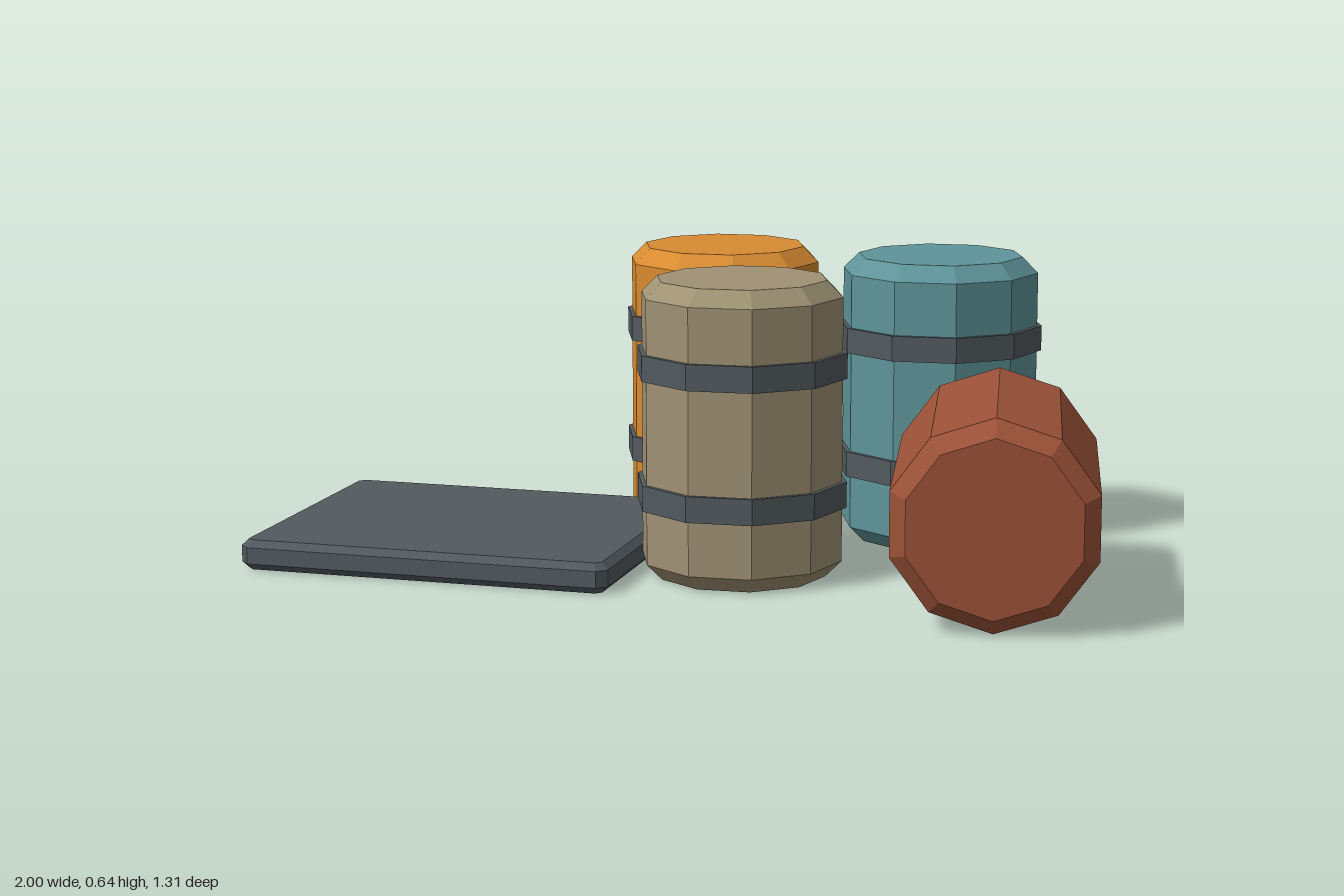
import * as THREE from 'three';

const SIDES = 10, R = 0.22, H = 0.642, BEVEL = 0.035;

const paint = (name, color) => {
  const m = new THREE.MeshStandardMaterial({ color });
  m.name = name;
  return m;
};

// Faceted mesh: every face keeps its own normal
function facet(name, geometry, material) {
  const g = geometry.index ? geometry.toNonIndexed() : geometry;
  g.computeVertexNormals();
  const mesh = new THREE.Mesh(g, material);
  mesh.name = name;
  return mesh;
}

// Ten-sided drum with chamfered rims, centred on its own middle
function drum(name, material, bandMaterial) {
  const group = new THREE.Group();
  group.name = name;
  const h = H / 2;
  const profile = [
    [0, -h], [R - BEVEL, -h], [R, -h + BEVEL],
    [R, h - BEVEL], [R - BEVEL, h], [0, h],
  ].map(([x, y]) => new THREE.Vector2(x, y));
  group.add(facet('drumBody', new THREE.LatheGeometry(profile, SIDES), material));
  if (bandMaterial) {
    for (const y of [-0.14, 0.14]) {
      const band = facet('drumBand', new THREE.CylinderGeometry(0.23, 0.23, 0.056, SIDES), bandMaterial);
      band.position.y = y;
      group.add(band);
    }
  }
  return group;
}

// Flat slab with chamfered edges and corners, resting on y = 0
function slab(width, depth, height, bevel, material) {
  const a = width / 2 - bevel, b = depth / 2 - bevel, c = 0.012;
  const corners = [
    [a - c, -b], [a, -b + c], [a, b - c], [a - c, b],
    [-a + c, b], [-a, b - c], [-a, -b + c], [-a + c, -b],
  ].map(([x, y]) => new THREE.Vector2(x, y));
  const g = new THREE.ExtrudeGeometry(new THREE.Shape(corners), {
    depth: height - 2 * bevel, bevelEnabled: true,
    bevelSize: bevel, bevelThickness: bevel, bevelSegments: 1,
  });
  g.translate(0, 0, bevel);
  g.rotateX(-Math.PI / 2);
  return facet('basePallet', g, material);
}

export function createModel() {
  const model = new THREE.Group();
  model.name = 'drumsAndPallet';
  const steel = paint('darkSteel', 0x525a5f);
  const teal = paint('teal', 0x5f9499);
  const orange = paint('orange', 0xd88b32);
  const tan = paint('tan', 0x9f9274);
  const rust = paint('rust', 0x9c5238);

  // Standing drums
  for (const [name, material, x, z] of [
    ['orangeDrum', orange, -0.19, -0.33],
    ['tanDrum', tan, 0.115, 0.11],
    ['tealDrum', teal, 0.315, -0.428],
  ]) {
    const d = drum(name, material, steel);
    d.position.set(x, H / 2, z);
    model.add(d);
  }

  // Fallen drum, lying on its side without bands
  const fallen = drum('fallenDrum', rust);
  fallen.rotation.set(Math.PI / 2, THREE.MathUtils.degToRad(25), 0, 'YXZ');
  fallen.position.set(0.69, R, 0.044);
  model.add(fallen);

  // Pallet on the ground
  const pallet = slab(0.835, 0.67, 0.066, 0.015, steel);
  pallet.rotation.y = THREE.MathUtils.degToRad(15);
  pallet.position.set(-0.511, 0, 0.227);
  model.add(pallet);

  return model;
}
